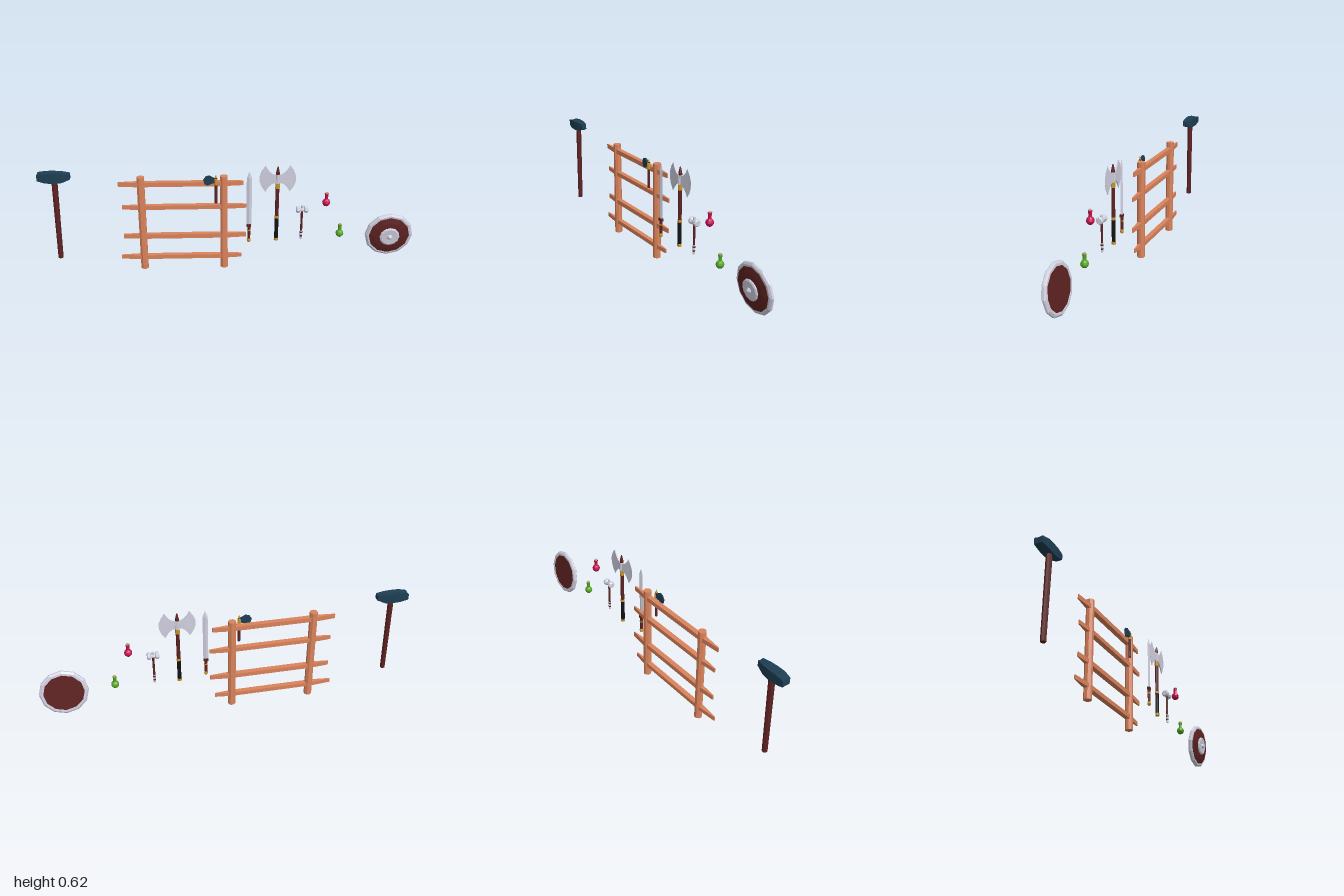
import * as THREE from 'three';

const mat = (color) => new THREE.MeshStandardMaterial({ color, flatShading: true });
const WOOD = mat(0xdc845c), BROWN = mat(0x5e2222), BLUE = mat(0x1d3e52), GOLD = mat(0xc9982e);
const STEEL = mat(0xd0d0e0), BLACK = mat(0x121214), RED = mat(0xc8104f), GREEN = mat(0x55a822), CORK = mat(0xc9a27a);

function add(parent, name, geometry, material, x = 0, y = 0, z = 0) {
  const mesh = new THREE.Mesh(geometry, material);
  mesh.name = name;
  mesh.position.set(x, y, z);
  parent.add(mesh);
  return mesh;
}

function group(parent, name, x, y, z) {
  const g = new THREE.Group();
  g.name = name;
  g.position.set(x, y, z);
  parent.add(g);
  return g;
}

// upright round section between two heights
function rod(parent, name, material, y0, y1, r0, r1 = r0, sides = 8) {
  return add(parent, name, new THREE.CylinderGeometry(r1, r0, y1 - y0, sides), material, 0, (y0 + y1) / 2, 0);
}

function lathe(parent, name, material, pts, sides = 10) {
  return add(parent, name, new THREE.LatheGeometry(pts.map(([r, y]) => new THREE.Vector2(r, y)), sides), material);
}

// move every vertex by a rule
function reshape(geometry, rule) {
  const p = geometry.attributes.position, v = new THREE.Vector3();
  for (let i = 0; i < p.count; i++) {
    rule(v.fromBufferAttribute(p, i));
    p.setXYZ(i, v.x, v.y, v.z);
  }
  geometry.computeVertexNormals();
  return geometry;
}

// outline extruded evenly about z = 0
function plate(shape, depth) {
  return new THREE.ExtrudeGeometry(shape, { depth, bevelEnabled: false, curveSegments: 5 }).translate(0, 0, -depth / 2);
}
const polygon = (pts) => new THREE.Shape(pts.map(([x, y]) => new THREE.Vector2(x, y)));

function buildFence(root) {
  const fence = group(root, 'fence', 0, 0, -0.028);
  for (const x of [-0.47, -0.03]) {
    const post = rod(fence, 'post', WOOD, 0, 0.545, 0.0215);
    post.position.x = x;
    post.rotation.y = Math.PI / 8;
  }
  // rails taper to a blunt point at both ends
  for (const [x0, x1, y, h] of [[-0.59, 0.075, 0.504, 0.025], [-0.575, 0.09, 0.37, 0.023],
    [-0.575, 0.09, 0.197, 0.025], [-0.595, 0.065, 0.07, 0.023]]) {
    const w = 0.0135, e = 0.003, t = 0.11;
    const outline = polygon([[x0, -e], [x0 + t, -w], [x1 - t, -w], [x1, -e], [x1, e], [x1 - t, w], [x0 + t, w], [x0, e]]);
    add(fence, 'rail', plate(outline, h).rotateX(-Math.PI / 2), WOOD, 0, y, 0);
  }
}

function buildWarHammer(root) {
  const hammer = group(root, 'warHammer', -0.915, 0, 0.004);
  const handle = rod(hammer, 'handle', BROWN, 0.09, 0.56, 0.014, 0.016);
  handle.rotation.z = -0.02;
  handle.position.x = -0.002;
  // head narrows towards its right end
  const head = reshape(new THREE.BoxGeometry(0.17, 1, 1, 4, 1, 2), (v) => {
    const i = Math.round((v.x + 0.085) / 0.0425);
    const top = [0.584, 0.59, 0.59, 0.589, 0.585][i] - (v.z === 0 ? 0.003 : 0);
    const bottom = [0.55, 0.54, 0.537, 0.54, 0.556][i];
    v.y = v.y > 0 ? top : bottom;
    v.z = v.z * [0.045, 0.052, 0.052, 0.046, 0.03][i] + [-0.004, 0, 0, 0.001, 0.003][i];
  });
  add(hammer, 'head', head, BLUE);
}

function buildHatchet(root) {
  const hatchet = group(root, 'hatchet', -0.073, 0, -0.003);
  rod(hatchet, 'handle', BROWN, 0.4, 0.545, 0.0075);
  rod(hatchet, 'collar', GOLD, 0.505, 0.54, 0.01);
  rod(hatchet, 'tip', GOLD, 0.54, 0.562, 0.008, 0.001);
  const outline = polygon([[0, 0.008], [-0.02, 0.02], [-0.035, 0.029], [-0.055, 0.022], [-0.067, 0.004],
    [-0.06, -0.02], [-0.045, -0.028], [-0.02, -0.016], [0, -0.01]]);
  const blade = reshape(plate(outline, 0.014), (v) => { v.z *= 1 + v.x * 12; });
  add(hatchet, 'blade', blade, BLUE, 0, 0.53, 0);
}

function buildSword(root) {
  const sword = group(root, 'sword', 0.102, 0, 0.028);
  // diamond-section blade with a pointed end
  const blade = new THREE.CylinderGeometry(0.014, 0.014, 0.27, 4).scale(1, 1, 0.45);
  add(sword, 'blade', blade, STEEL, 0, 0.42, 0);
  add(sword, 'bladeTip', new THREE.ConeGeometry(0.014, 0.036, 4).scale(1, 1, 0.45), STEEL, 0, 0.573, 0);
  add(sword, 'guard', new THREE.BoxGeometry(0.024, 0.016, 0.014), BROWN, 0, 0.28, 0);
  rod(sword, 'grip', BROWN, 0.2, 0.275, 0.008);
  rod(sword, 'gripRing', GOLD, 0.248, 0.255, 0.0095);
  lathe(sword, 'pommel', GOLD, [[0, 0.178], [0.008, 0.182], [0.011, 0.192], [0.008, 0.202], [0, 0.206]], 8);
}

function buildBattleAxe(root) {
  const axe = group(root, 'battleAxe', 0.252, 0, 0.008);
  rod(axe, 'shaft', BROWN, 0.32, 0.575, 0.01);
  rod(axe, 'shaftTip', BROWN, 0.575, 0.607, 0.01, 0.003);
  rod(axe, 'grip', BLACK, 0.19, 0.32, 0.0105);
  for (const [y0, y1] of [[0.178, 0.193], [0.312, 0.326], [0.485, 0.515]]) rod(axe, 'ring', GOLD, y0, y1, 0.012);
  rod(axe, 'socket', STEEL, 0.515, 0.565, 0.0125);
  for (const side of [-1, 1]) {
    const s = new THREE.Shape();
    s.moveTo(0, -0.022);
    s.lineTo(0.024, -0.025);
    s.quadraticCurveTo(0.05, -0.04, 0.064, -0.075);
    s.quadraticCurveTo(0.13, 0, 0.064, 0.075);
    s.quadraticCurveTo(0.05, 0.04, 0.024, 0.025);
    s.lineTo(0, 0.022);
    const blade = reshape(plate(s, 0.014), (v) => { v.z *= Math.max(0.12, 1 - v.x * 12); });
    if (side < 0) blade.rotateY(Math.PI);
    add(axe, 'blade', blade, STEEL, 0, 0.54, 0);
  }
}

function buildMallet(root) {
  const mallet = group(root, 'mallet', 0.387, 0, 0.01);
  rod(mallet, 'handle', BROWN, 0.235, 0.36, 0.006);
  rod(mallet, 'grip', STEEL, 0.185, 0.235, 0.0065);
  for (const y of [0.2, 0.22]) rod(mallet, 'gripBand', BROWN, y, y + 0.008, 0.0072);
  rod(mallet, 'cap', STEEL, 0.36, 0.384, 0.007);
  const head = lathe(mallet, 'head', STEEL, [[0, -0.032], [0.015, -0.032], [0.0195, -0.027], [0.0195, -0.015],
    [0.012, -0.01], [0.012, 0.01], [0.0195, 0.015], [0.0195, 0.027], [0.015, 0.032], [0, 0.032]], 8);
  head.rotation.z = Math.PI / 2;
  head.position.y = 0.36;
}

function buildPotion(root, name, material, x, y, z) {
  const potion = group(root, name, x, y, z);
  lathe(potion, 'flask', material, [[0, 0], [0.011, 0], [0.019, 0.009], [0.0215, 0.019], [0.018, 0.03],
    [0.009, 0.038], [0.0085, 0.05], [0.011, 0.069], [0, 0.069]]);
  rod(potion, 'cork', CORK, 0.068, 0.075, 0.008);
}

function buildShield(root) {
  const shield = group(root, 'shield', 0.869, 0.2, 0.002);
  shield.rotation.x = 0.116;
  // turned parts, with the axis brought round to face the front
  const disc = group(shield, 'shieldDisc', 0, 0, 0);
  disc.rotation.x = Math.PI / 2;
  lathe(disc, 'rim', STEEL, [[0.108, -0.011], [0.12, -0.011], [0.13, -0.004], [0.13, 0.006],
    [0.12, 0.013], [0.107, 0.013], [0.108, -0.011]], 12);
  lathe(disc, 'board', BROWN, [[0, -0.008], [0.11, -0.008], [0.11, 0.015], [0.082, 0.022], [0.05, 0.026], [0, 0.026]], 12);
  lathe(disc, 'bossPlate', STEEL, [[0.054, 0.022], [0.054, 0.031], [0.046, 0.035], [0.018, 0.034], [0, 0.034]], 12);
  lathe(disc, 'bossSpike', STEEL, [[0.016, 0.033], [0.012, 0.039], [0.004, 0.046], [0, 0.048]], 8);
}

export function createModel() {
  const root = new THREE.Group();
  root.name = 'weaponRackSet';
  buildFence(root);
  buildWarHammer(root);
  buildHatchet(root);
  buildSword(root);
  buildBattleAxe(root);
  buildMallet(root);
  buildPotion(root, 'redPotion', RED, 0.515, 0.381, 0.009);
  buildPotion(root, 'greenPotion', GREEN, 0.599, 0.192, 0.002);
  buildShield(root);
  return root;
}
